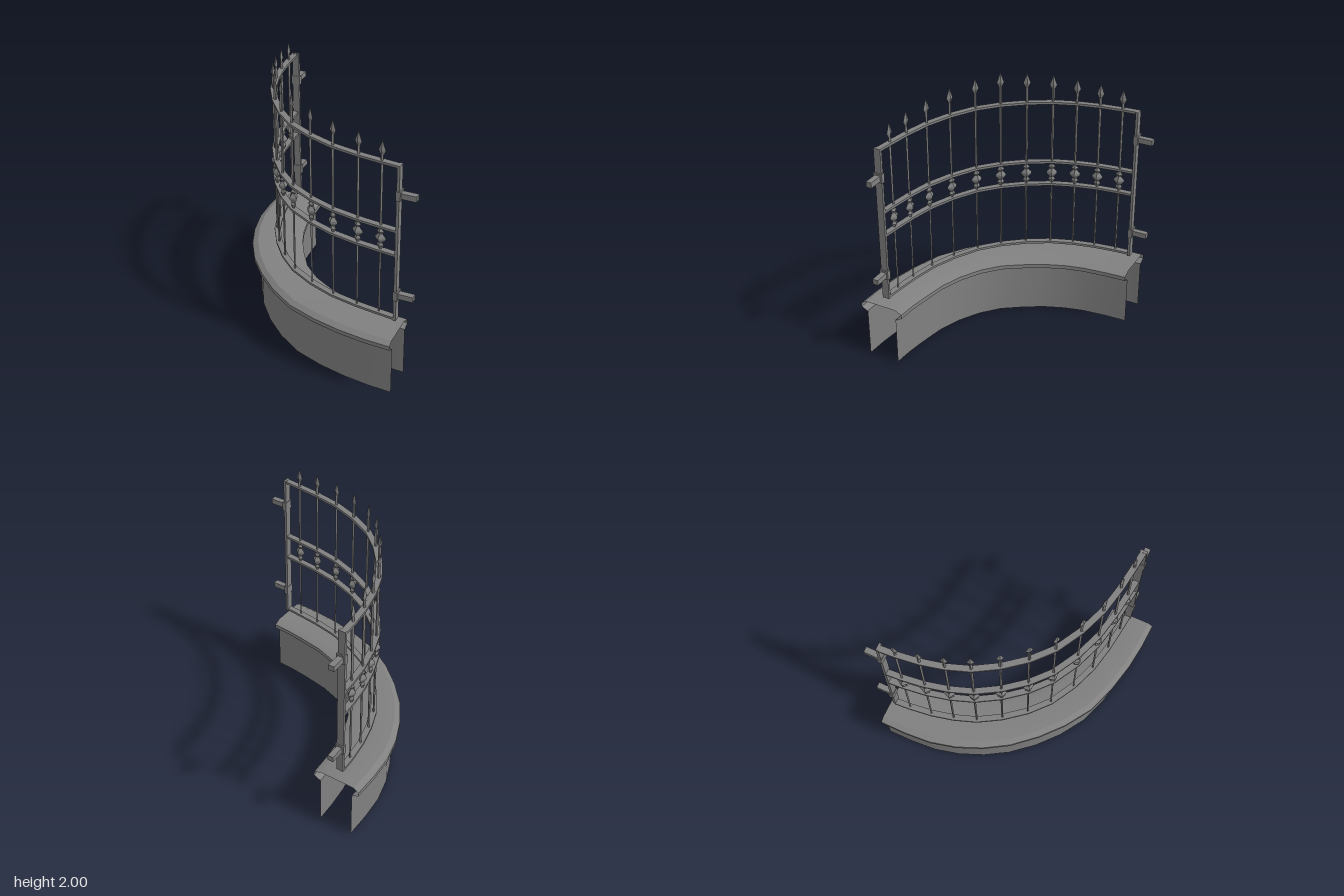
import * as THREE from 'three';
import { toCreasedNormals } from 'three/addons/utils/BufferGeometryUtils.js';

// Plan outlines [x, z] of the coping, and the line of the railing, from the +x end to the -z end
const OUTER = [[.76, .835], [.57, .825], [.37, .80], [.15, .75], [-.08, .67], [-.28, .54], [-.45, .39],
  [-.60, .22], [-.71, .04], [-.79, -.15], [-.84, -.35], [-.855, -.55], [-.855, -.76]];
const INNER = [[.76, .485], [.62, .475], [.48, .455], [.28, .42], [.11, .36], [-.05, .27], [-.18, .155],
  [-.29, -.01], [-.36, -.14], [-.415, -.28], [-.45, -.42], [-.47, -.60], [-.48, -.76]];
const RAIL = [[.722, .63], [.59, .615], [.413, .592], [.21, .55], [.01, .475], [-.18, .37], [-.325, .24],
  [-.45, .085], [-.55, -.083], [-.61, -.25], [-.65, -.42], [-.672, -.59], [-.68, -.71]];

const GREY = 0x808080;
const material = new THREE.MeshStandardMaterial({ color: GREY });
const flat = new THREE.MeshStandardMaterial({ color: GREY, flatShading: true });
const thin = new THREE.MeshStandardMaterial({ color: GREY, side: THREE.DoubleSide });

// Skin between successive cross-sections
function loft(rings, closed) {
  const n = rings[0].length, index = [];
  for (let i = 0; i < rings.length - 1; i++) {
    for (let j = 0; j < (closed ? n : n - 1); j++) {
      const k = (j + 1) % n;
      const a = i * n + j, b = i * n + k, c = b + n, d = a + n;
      index.push(a, b, d, b, c, d);
    }
  }
  const g = new THREE.BufferGeometry();
  g.setAttribute('position', new THREE.Float32BufferAttribute(rings.flat(2), 3));
  g.setIndex(index);
  return toCreasedNormals(g, 0.45);
}

// Sweep a profile of [t, y]; t runs from the outer outline (0) to the inner one (1)
function sweepWall(profile) {
  return loft(OUTER.map(([ox, oz], i) => profile.map(([t, y]) =>
    [ox + (INNER[i][0] - ox) * t, y, oz + (INNER[i][1] - oz) * t])), false);
}

// Unit direction of the railing at point i
function tangent(i) {
  const a = RAIL[Math.max(i - 1, 0)], b = RAIL[Math.min(i + 1, RAIL.length - 1)];
  const l = Math.hypot(b[0] - a[0], b[1] - a[1]);
  return [(b[0] - a[0]) / l, (b[1] - a[1]) / l];
}

function add(parent, name, geometry, mat, x = 0, y = 0, z = 0) {
  const mesh = new THREE.Mesh(geometry, mat);
  mesh.name = name;
  mesh.position.set(x, y, z);
  parent.add(mesh);
  return mesh;
}

const lathe = (points) => new THREE.LatheGeometry(points.map(([r, y]) => new THREE.Vector2(r, y)), 4);

export function createModel() {
  const model = new THREE.Group();
  model.name = 'curvedFence';

  // Low wall: two curved sheets under an overhanging chamfered coping
  add(model, 'outerWall', sweepWall([[.15, 0], [.15, .385]]), thin);
  add(model, 'innerWall', sweepWall([[.85, .385], [.85, 0]]), thin);
  add(model, 'coping', sweepWall([[.15, .38], [0, .408], [0, .44], [.11, .465],
    [.83, .465], [1, .44], [1, .408], [.85, .38]]), thin);

  // Horizontal rails
  const w = .023, h = .009;
  for (const y of [.541, 1.06, 1.25, 1.743]) {
    const rings = RAIL.map(([x, z], i) => {
      const [tx, tz] = tangent(i);
      return [[w, -h], [w, h], [-w, h], [-w, -h]].map(([s, v]) => [x + tz * s, y + v, z - tx * s]);
    });
    add(model, 'rail', loft(rings, true), material);
  }

  // Upright bars, tallest in the middle, each with three stacked beads and a flat spearhead
  const beads = lathe([[.008, 1.07], [.029, 1.098], [.016, 1.12], [.042, 1.148], [.042, 1.162],
    [.016, 1.19], [.029, 1.206], [.008, 1.23]]);
  const spear = lathe([[.01, -.115], [.028, -.08], [0, 0]]);
  for (let i = 1; i < RAIL.length - 1; i++) {
    const bar = new THREE.Group();
    const [tx, tz] = tangent(i);
    const tip = 2 - .02 * Math.abs(i - 6);
    bar.name = 'bar';
    bar.position.set(RAIL[i][0], 0, RAIL[i][1]);
    bar.rotation.y = Math.atan2(-tz, tx);
    const length = tip - .11 - .54;
    add(bar, 'shaft', new THREE.CylinderGeometry(.011, .007, length, 4), flat, 0, .54 + length / 2, 0);
    add(bar, 'beads', beads, flat).scale.z = .75;
    add(bar, 'spearhead', spear, flat, 0, tip, 0).scale.z = .5;
    model.add(bar);
  }

  // End posts with two wall brackets each, built along +x and turned for the second end
  const ends = [[.722, .63, 0], [-.672, -.713, Math.PI / 2]];
  for (const [x, z, turn] of ends) {
    const end = new THREE.Group();
    end.name = 'endPost';
    end.position.set(x, 0, z);
    end.rotation.y = turn;
    add(end, 'post', new THREE.BoxGeometry(.02, 1.225, .055), material, 0, 1.142, 0);
    for (const y of [.737, 1.532]) {
      add(end, 'bracketCollar', new THREE.BoxGeometry(.034, .07, .07), material, .003, y, 0);
      add(end, 'bracketArm', new THREE.BoxGeometry(.13, .042, .044), material, .065, y, 0);
    }
    model.add(end);
  }
  return model;
}
